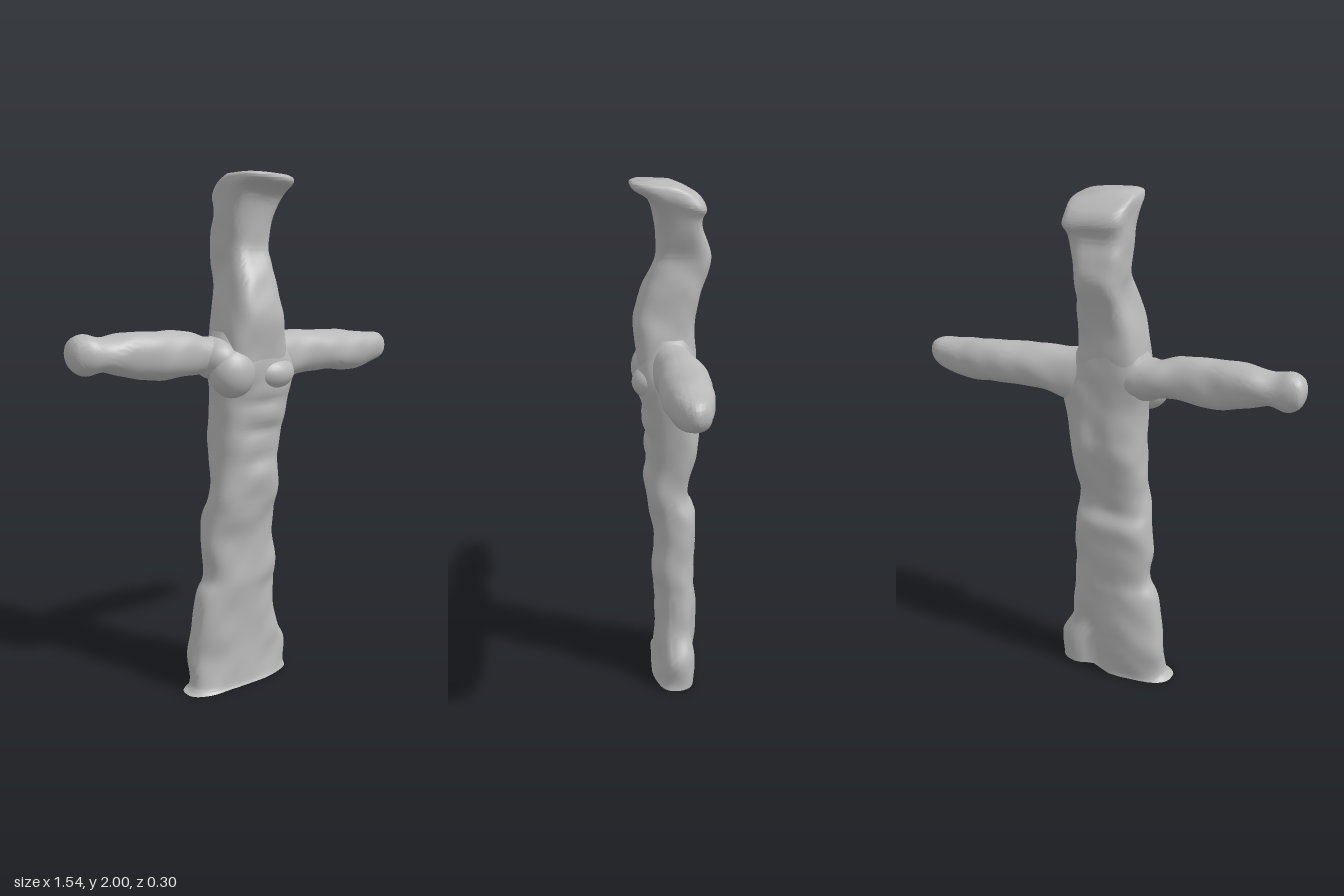
import * as THREE from 'three';
import { toCreasedNormals } from 'three/addons/utils/BufferGeometryUtils.js';

const SIDES = 48;
const STEPS = 6;

// Smooth interpolation through four neighbouring values
function spline(a, b, c, d, t) {
  return b + 0.5 * t * (c - a + t * (2 * a - 5 * b + 4 * c - d + t * (3 * (b - c) + d - a)));
}

// Rows are [station, uMin, uMax, vMin, vMax]; returns a denser smooth list
function resample(rows) {
  const out = [];
  const at = i => rows[Math.min(rows.length - 1, Math.max(0, i))];
  for (let i = 0; i < rows.length - 1; i++) {
    for (let s = 0; s < STEPS; s++) {
      out.push(rows[i].map((_, k) => spline(at(i - 1)[k], at(i)[k], at(i + 1)[k], at(i + 2)[k], s / STEPS)));
    }
  }
  out.push(rows[rows.length - 1]);
  return out;
}

// Gentle hand-modelled unevenness
function lump(p) {
  return 0.004 * Math.sin(21 * p.y + 7 * p.x) * Math.cos(17 * p.x + 24 * p.z)
    + 0.002 * Math.sin(41 * p.y - 33 * p.x) * Math.cos(38 * p.z + 15 * p.x);
}

// Closed loft of rounded cross-sections; place() maps (station, u, v) to a point
function loft(rows, power, place) {
  const rings = resample(rows);
  const collapse = r => [r[0], (r[1] + r[2]) / 2, (r[1] + r[2]) / 2, (r[3] + r[4]) / 2, (r[3] + r[4]) / 2];
  rings.unshift(collapse(rings[0]));
  rings.push(collapse(rings[rings.length - 1]));
  const pos = [], index = [];
  const round = c => Math.sign(c) * Math.pow(Math.abs(c), 2 / power);
  rings.forEach(([s, u0, u1, v0, v1], i) => {
    for (let j = 0; j < SIDES; j++) {
      const a = j / SIDES * Math.PI * 2;
      const cu = round(Math.cos(a)), cv = round(Math.sin(a));
      const u = (u0 + u1) / 2 + cu * (u1 - u0) / 2;
      const v = (v0 + v1) / 2 + cv * (v1 - v0) / 2;
      const k = u1 - u0 > 0.001 ? lump(place(s, u, v)) : 0;
      pos.push(...place(s, u + cu * k, v + cv * k).toArray());
      if (i < rings.length - 1) {
        const n = (j + 1) % SIDES, b = i * SIDES;
        index.push(b + j, b + SIDES + j, b + n, b + n, b + SIDES + j, b + SIDES + n);
      }
    }
  });
  const g = new THREE.BufferGeometry();
  g.setAttribute('position', new THREE.Float32BufferAttribute(pos, 3));
  g.setIndex(index);
  return toCreasedNormals(g, 1);
}

const bump = (d, w) => Math.exp(-(d * d) / (w * w));

export function createModel() {
  const model = new THREE.Group();
  const clay = new THREE.MeshStandardMaterial({ color: 0xb8b8b8 });
  clay.name = 'grey clay';
  const add = (name, geometry) => {
    const m = new THREE.Mesh(geometry, clay);
    m.name = name;
    model.add(m);
    return m;
  };

  // Robe, feet and torso: [y, xMin, xMax, zMin, zMax]
  const body = [
    [0, -0.312, 0.19, -0.1, 0.078], [0.025, -0.28, 0.187, -0.1, 0.07], [0.12, -0.272, 0.187, -0.108, 0.058],
    [0.22, -0.262, 0.14, -0.105, 0.06], [0.38, -0.235, 0.125, -0.1, 0.063], [0.46, -0.2, 0.125, -0.095, 0.07],
    [0.6, -0.207, 0.118, -0.1, 0.064], [0.7, -0.2, 0.115, -0.105, 0.08], [0.77, -0.19, 0.113, -0.075, 0.092],
    [0.86, -0.168, 0.113, -0.083, 0.103], [1.0, -0.168, 0.132, -0.115, 0.1], [1.1, -0.163, 0.148, -0.11, 0.11],
    [1.2, -0.165, 0.17, -0.1, 0.122], [1.28, -0.19, 0.175, -0.1, 0.13], [1.35, -0.19, 0.14, -0.098, 0.12],
    [1.42, -0.155, 0.108, -0.093, 0.1]
  ];
  add('robeAndTorso', loft(body, 2.6, (y, x, z) => {
    const back = THREE.MathUtils.smoothstep(-z, 0, 0.08);
    const front = THREE.MathUtils.smoothstep(z, 0, 0.08);
    // Groove between the heels, and a hollow along the spine
    z += back * (0.045 * bump(x - 0.03, 0.05) * bump(y - 0.1, 0.18) + 0.015 * bump(x, 0.04) * bump(y - 1.05, 0.18));
    // Calf swelling, then shallow folds across the belly
    z -= back * 0.012 * bump(x + 0.13, 0.08) * bump(y - 0.24, 0.15);
    z -= front * 0.014 * bump(x, 0.09) * (bump(y - 0.92, 0.025) + bump(y - 1.04, 0.025) + bump(y - 1.15, 0.025));
    return new THREE.Vector3(x, y, z);
  }));

  // Neck, head and jutting flat brim, tipped down toward the back
  const head = [
    [1.3, -0.16, 0.12, -0.09, 0.125], [1.4, -0.155, 0.108, -0.093, 0.132], [1.5, -0.138, 0.092, -0.095, 0.137],
    [1.6, -0.112, 0.085, -0.122, 0.108], [1.67, -0.1, 0.078, -0.142, 0.075], [1.72, -0.1, 0.078, -0.148, 0.057],
    [1.78, -0.103, 0.094, -0.135, 0.054], [1.84, -0.108, 0.11, -0.115, 0.056], [1.9, -0.11, 0.128, -0.122, 0.07],
    [1.935, -0.112, 0.138, -0.13, 0.095], [1.96, -0.113, 0.138, -0.126, 0.14], [1.98, -0.11, 0.132, -0.105, 0.147],
    [1.99, -0.1, 0.115, -0.065, 0.13]
  ];
  add('headAndNeck', loft(head, 3.6, (y, x, z) => {
    const tip = THREE.MathUtils.smoothstep(y, 1.84, 1.95);
    return new THREE.Vector3(x, y + tip * (z < 0 ? 0.35 * z : 0.05 * z) - tip * 0.06 * x, z);
  }));

  // Outstretched arms: [x, zMin, zMax, yMin, yMax]
  const along = (x, z, y) => new THREE.Vector3(x, y, z);
  add('rightArm', loft([
    [-0.772, -0.055, 0.015, 1.345, 1.41], [-0.757, -0.07, 0.035, 1.318, 1.433], [-0.715, -0.08, 0.055, 1.3, 1.445],
    [-0.65, -0.08, 0.06, 1.31, 1.43], [-0.55, -0.09, 0.073, 1.285, 1.447], [-0.42, -0.075, 0.075, 1.258, 1.437],
    [-0.3, -0.075, 0.07, 1.268, 1.43], [-0.2, -0.095, 0.07, 1.265, 1.405], [-0.08, -0.085, 0.07, 1.24, 1.4]
  ], 2.2, along));
  add('leftArm', loft([
    [0.06, -0.085, 0.08, 1.17, 1.42], [0.15, -0.095, 0.075, 1.2, 1.4], [0.26, -0.108, 0.07, 1.225, 1.4],
    [0.4, -0.115, 0.068, 1.226, 1.39], [0.55, -0.108, 0.058, 1.217, 1.382], [0.65, -0.092, 0.045, 1.228, 1.368],
    [0.72, -0.08, 0.032, 1.245, 1.36], [0.755, -0.055, 0.01, 1.265, 1.343], [0.77, -0.035, -0.01, 1.285, 1.325]
  ], 2.2, along));

  // Rounded masses pressed onto the body: [name, centre, radii]
  const masses = [
    ['rightChest', [-0.135, 1.27, 0.07], [0.095, 0.095, 0.075]],
    ['leftChest', [0.05, 1.255, 0.075], [0.1, 0.065, 0.075]],
    ['rightShoulder', [-0.17, 1.32, 0.01], [0.085, 0.08, 0.1]]
  ];
  for (const [name, centre, radii] of masses) {
    const g = new THREE.SphereGeometry(1, 28, 18);
    g.scale(...radii);
    add(name, g).position.set(...centre);
  }
  return model;
}
